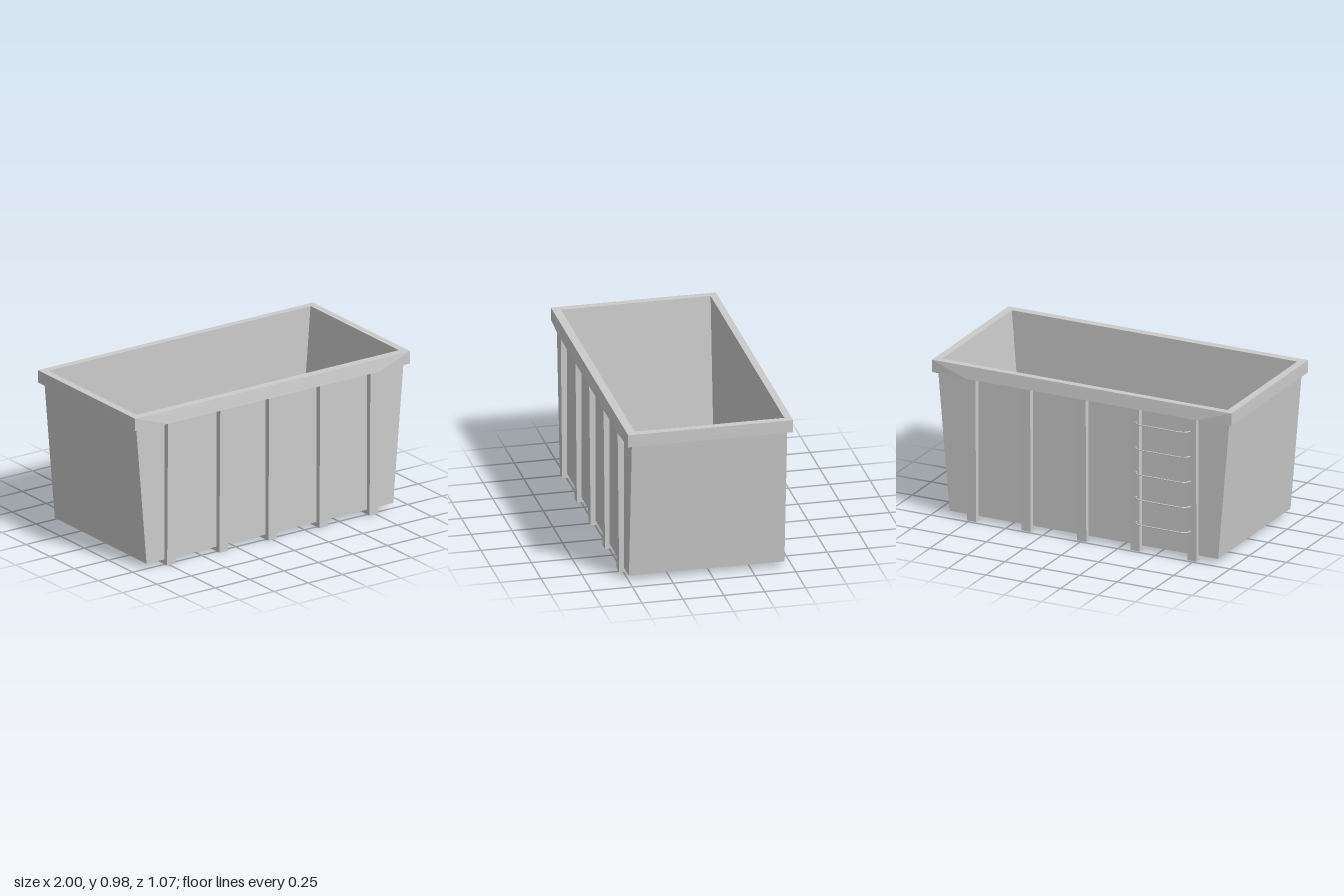
import * as THREE from 'three';

const material = new THREE.MeshStandardMaterial({ color: 0xcccccc, flatShading: true });

// Rectangular cross-section at height y, counter-clockwise from above.
// Each long side has two extra points, at +-midX and pushed out by bulge.
function ring(y, x, front, back, midX = x, bulge = 0) {
  return [
    [-x, y, front], [-midX, y, front + bulge], [midX, y, front + bulge], [x, y, front],
    [x, y, back], [midX, y, back - bulge], [-midX, y, back - bulge], [-x, y, back],
  ].map(p => new THREE.Vector3(...p));
}

// Joins consecutive cross-sections with faces, skipping collapsed triangles
function loft(rings) {
  const points = [];
  const triangle = new THREE.Triangle();
  const add = (a, b, c) => {
    if (triangle.set(a, b, c).getArea() > 1e-7) points.push(a, b, c);
  };
  for (let r = 0; r + 1 < rings.length; r++) {
    const low = rings[r], up = rings[r + 1];
    for (let i = 0; i < low.length; i++) {
      const j = (i + 1) % low.length;
      add(low[i], low[j], up[j]);
      add(low[i], up[j], up[i]);
    }
  }
  const geometry = new THREE.BufferGeometry().setFromPoints(points);
  geometry.computeVertexNormals();
  return geometry;
}

export function createModel() {
  const model = new THREE.Group();
  model.name = 'openContainer';
  const add = (name, geometry, parent = model) => {
    const mesh = new THREE.Mesh(geometry, material);
    mesh.name = name;
    parent.add(mesh);
    return mesh;
  };

  const midZ = 0.0215;
  const wallTop = ring(0.905, 0.972, 0.497, -0.454);
  const opening = ring(0.983, 0.953, 0.475, -0.44);

  // Outer walls and underside, with sloping ends
  add('outerShell', loft([
    ring(0.03, 0, midZ, midZ),
    ring(0.03, 0.897, 0.497, -0.454),
    wallTop,
  ]));

  // Rim, its long sides flaring out at the bottom between the corners
  add('rim', loft([
    wallTop,
    ring(0.905, 1, 0.526, -0.483, 0.77, 0.011),
    ring(0.983, 1, 0.526, -0.483),
    opening,
  ]));

  // Inner walls and floor
  add('innerLining', loft([
    opening,
    ring(0.05, 0.879, 0.475, -0.44),
    ring(0.05, 0, midZ, midZ),
  ]));

  // Ribs running down one long side, under the floor and up the other
  const ribShape = new THREE.Shape([
    [0.526, 0], [0.535, 0.91], [0.488, 0.91], [0.488, 0.04],
    [-0.445, 0.04], [-0.445, 0.91], [-0.492, 0.91], [-0.483, 0],
  ].map(([z, y]) => new THREE.Vector2(-z, y)));
  const ribWidth = 0.061;
  const ribGeometry = new THREE.ExtrudeGeometry(ribShape, { depth: ribWidth, bevelEnabled: false });
  ribGeometry.rotateY(Math.PI / 2).translate(-ribWidth / 2, 0, 0);
  const ribs = new THREE.Group();
  ribs.name = 'ribs';
  model.add(ribs);
  for (const x of [-0.737, -0.357, -0.001, 0.37, 0.735]) {
    add('rib', ribGeometry, ribs).position.x = x;
  }

  // Ladder rungs bridging two ribs on the back
  const [x0, x1, zIn, zOut] = [-0.729, -0.367, -0.48, -0.532];
  const v = (x, z) => new THREE.Vector3(x, 0, z);
  const path = new THREE.CurvePath();
  path.add(new THREE.CubicBezierCurve3(v(x0, zIn), v(x0, -0.51), v(x0 + 0.02, zOut), v(x0 + 0.06, zOut)));
  path.add(new THREE.LineCurve3(v(x0 + 0.06, zOut), v(x1 - 0.06, zOut)));
  path.add(new THREE.CubicBezierCurve3(v(x1 - 0.06, zOut), v(x1 - 0.02, zOut), v(x1, -0.51), v(x1, zIn)));
  const rungGeometry = new THREE.TubeGeometry(path, 40, 0.004, 8);
  const ladder = new THREE.Group();
  ladder.name = 'ladder';
  model.add(ladder);
  for (let i = 0; i < 5; i++) {
    add('rung', rungGeometry, ladder).position.y = 0.188 + i * 0.1595;
  }

  return model;
}
